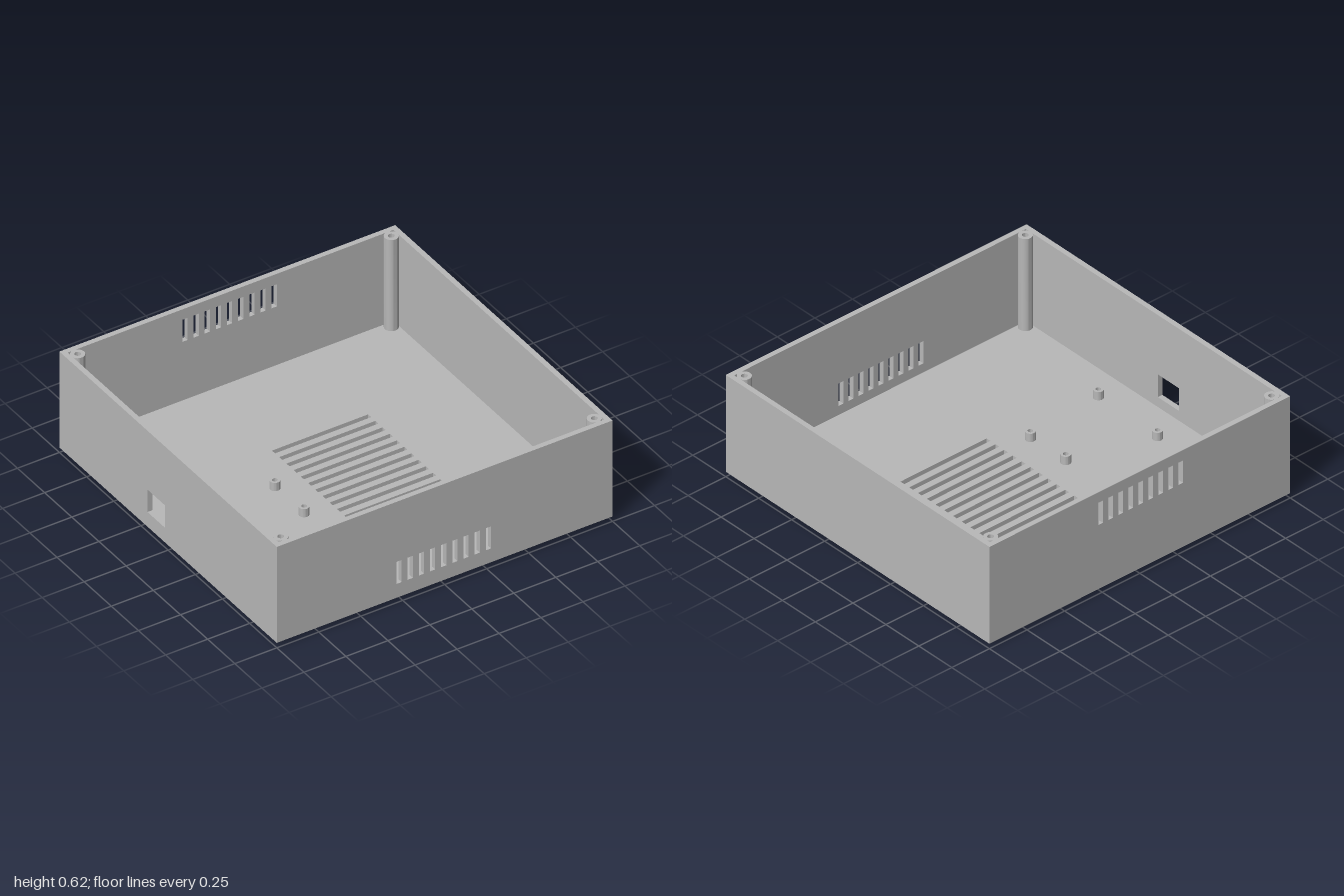
import * as THREE from 'three';
import { toCreasedNormals } from 'three/addons/utils/BufferGeometryUtils.js';

const WALL = 0.03, BASE = 0.03, FLOOR = 0.06, TOP = 0.62;
const INNER = 1 - WALL;

// Rectangle [x0, y0, x1, y1] as points
const corners = ([x0, y0, x1, y1]) => [
  new THREE.Vector2(x0, y0), new THREE.Vector2(x1, y0),
  new THREE.Vector2(x1, y1), new THREE.Vector2(x0, y1),
];

// Flat plate with rectangular openings, thickness along +z
function plate(rect, openings = []) {
  const shape = new THREE.Shape(corners(rect));
  for (const o of openings) shape.holes.push(new THREE.Path(corners(o).reverse()));
  return new THREE.ExtrudeGeometry(shape, { depth: WALL, bevelEnabled: false });
}

// Solid round pillar with a blind screw hole in its top
function screwPillar(radius, bore, height, depth) {
  const profile = [
    [radius, 0], [radius, height], [bore, height], [bore, height - depth], [0, height - depth],
  ].map(([x, y]) => new THREE.Vector2(x, y));
  return toCreasedNormals(new THREE.LatheGeometry(profile, 32), 0.6);
}

export function createModel() {
  const model = new THREE.Group();
  model.name = 'enclosure';
  const grey = new THREE.MeshStandardMaterial({ color: 0xb8b8b8 });
  grey.name = 'grey plastic';

  const add = (name, geometry, x, y, z) => {
    const mesh = new THREE.Mesh(geometry, grey);
    mesh.name = name;
    mesh.position.set(x, y, z);
    model.add(mesh);
    return mesh;
  };

  // Row of nine upright vent slots starting at height y0
  const ventRow = (y0) => Array.from({ length: 9 }, (_, i) => {
    const x = -0.287 + i * 0.0665;
    return [x, y0, x + 0.031, y0 + 0.136];
  });

  // Floor with eleven long vent slots
  const floorSlots = Array.from({ length: 11 }, (_, i) => {
    const z = -0.351 + i * 0.0664;
    return [-0.145, -z - 0.014, 0.428, -z + 0.014];
  });
  add('floor', plate([-1, -1, 1, 1], floorSlots).rotateX(-Math.PI / 2), 0, BASE, 0);

  // Front vents sit low, back vents sit high
  add('frontWall', plate([-1, FLOOR, 1, TOP], ventRow(0.115)), 0, 0, INNER);
  add('backWall', plate([-1, FLOOR, 1, TOP], ventRow(0.42)), 0, 0, -1);

  // Side walls; the right one has a square cable port
  const side = [-INNER, FLOOR, INNER, TOP];
  add('leftWall', plate(side).rotateY(-Math.PI / 2), 1, 0, 0);
  add('rightWall', plate(side, [[-0.19, 0.12, -0.03, 0.258]]).rotateY(-Math.PI / 2), -INNER, 0, 0);

  // Corner screw posts and feet
  const post = screwPillar(0.038, 0.017, TOP - FLOOR, 0.2);
  const foot = new THREE.CylinderGeometry(0.056, 0.056, BASE, 40);
  for (const sx of [-1, 1]) {
    for (const sz of [-1, 1]) {
      add('cornerPost', post, sx * 0.934, FLOOR, sz * 0.934);
      add('foot', foot, sx * 0.856, BASE / 2, sz * 0.856);
    }
  }

  // Circuit board standoffs
  const standoff = screwPillar(0.028, 0.014, 0.05, 0.045);
  for (const [x, z] of [[-0.79, -0.233], [-0.307, -0.088], [-0.307, 0.18], [-0.803, 0.23]]) {
    add('standoff', standoff, x, FLOOR, z);
  }

  return model;
}
